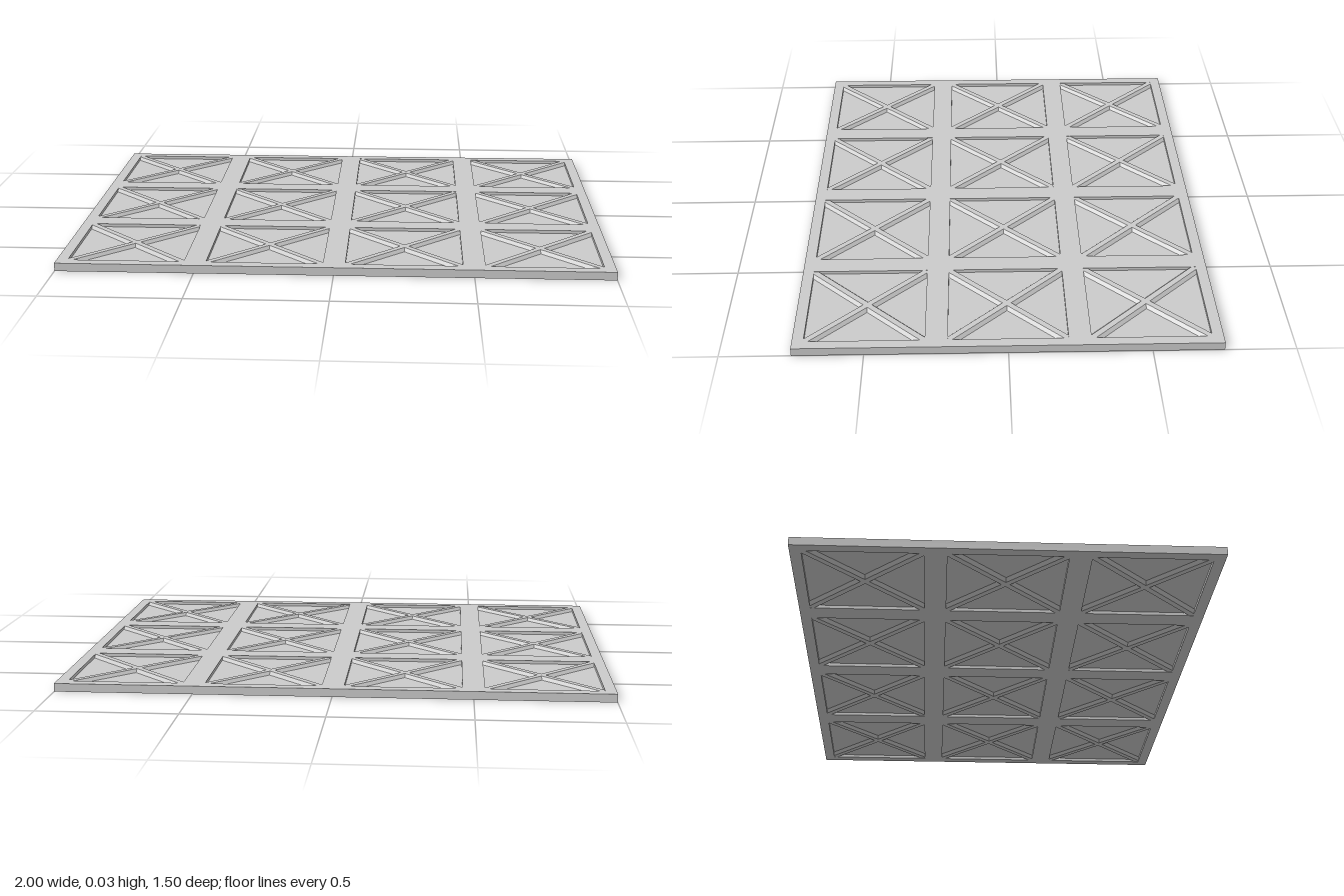
import * as THREE from 'three';

const W = 2, D = 1.5, H = 0.03, CELL = 0.5, RIM = 0.04;

export function createModel() {
  const model = new THREE.Group();
  model.name = 'ribbedPanel';
  const material = new THREE.MeshStandardMaterial({ color: 0xcccccc, flatShading: true });
  const add = (geometry, name, parent = model) => {
    const mesh = new THREE.Mesh(geometry, material);
    mesh.name = name;
    parent.add(mesh);
    return mesh;
  };
  const polygon = (Type, points) => new Type(points.map(([x, y]) => new THREE.Vector2(x, y)));
  const rectangle = (Type, x, y, hw, hh) =>
    polygon(Type, [[x - hw, y - hh], [x + hw, y - hh], [x + hw, y + hh], [x - hw, y + hh]]);

  // Centres of the 4 x 3 square bays
  const bays = [];
  for (let i = 0; i < 4; i++)
    for (let j = 0; j < 3; j++) bays.push([(i - 1.5) * CELL, (j - 1) * CELL]);

  // Flat grid frame with one square opening per bay
  const half = CELL / 2 - RIM;
  const frameShape = rectangle(THREE.Shape, 0, 0, W / 2, D / 2);
  frameShape.holes = bays.map(([x, z]) => rectangle(THREE.Path, x, z, half, half));
  const frame = new THREE.ExtrudeGeometry(frameShape, { depth: H, bevelEnabled: false });
  frame.rotateX(-Math.PI / 2);
  add(frame, 'gridFrame');

  // Bevelled rib section, raised on both faces of the web
  const ribHalf = H / 2 - 0.0005;
  const ribShape = polygon(THREE.Shape, [
    [-0.022, -0.003], [-0.011, -ribHalf], [0.011, -ribHalf],
    [0.022, -0.003], [0.022, 0.003], [0.011, ribHalf], [-0.011, ribHalf], [-0.022, 0.003],
  ]);
  const ribLength = 2 * (half * Math.SQRT2 + 0.015);
  const rib = new THREE.ExtrudeGeometry(ribShape, { depth: ribLength, bevelEnabled: false });
  rib.translate(0, 0, -ribLength / 2);

  // Thin web and crossed diagonal ribs in every bay
  const web = new THREE.BoxGeometry(2 * half + 0.02, 0.006, 2 * half + 0.02);
  for (const [x, z] of bays) {
    const bay = new THREE.Group();
    bay.name = 'bay';
    bay.position.set(x, H / 2, z);
    model.add(bay);
    add(web, 'web', bay);
    for (const side of [-1, 1]) add(rib, 'diagonalRib', bay).rotation.y = side * Math.PI / 4;
  }
  return model;
}
